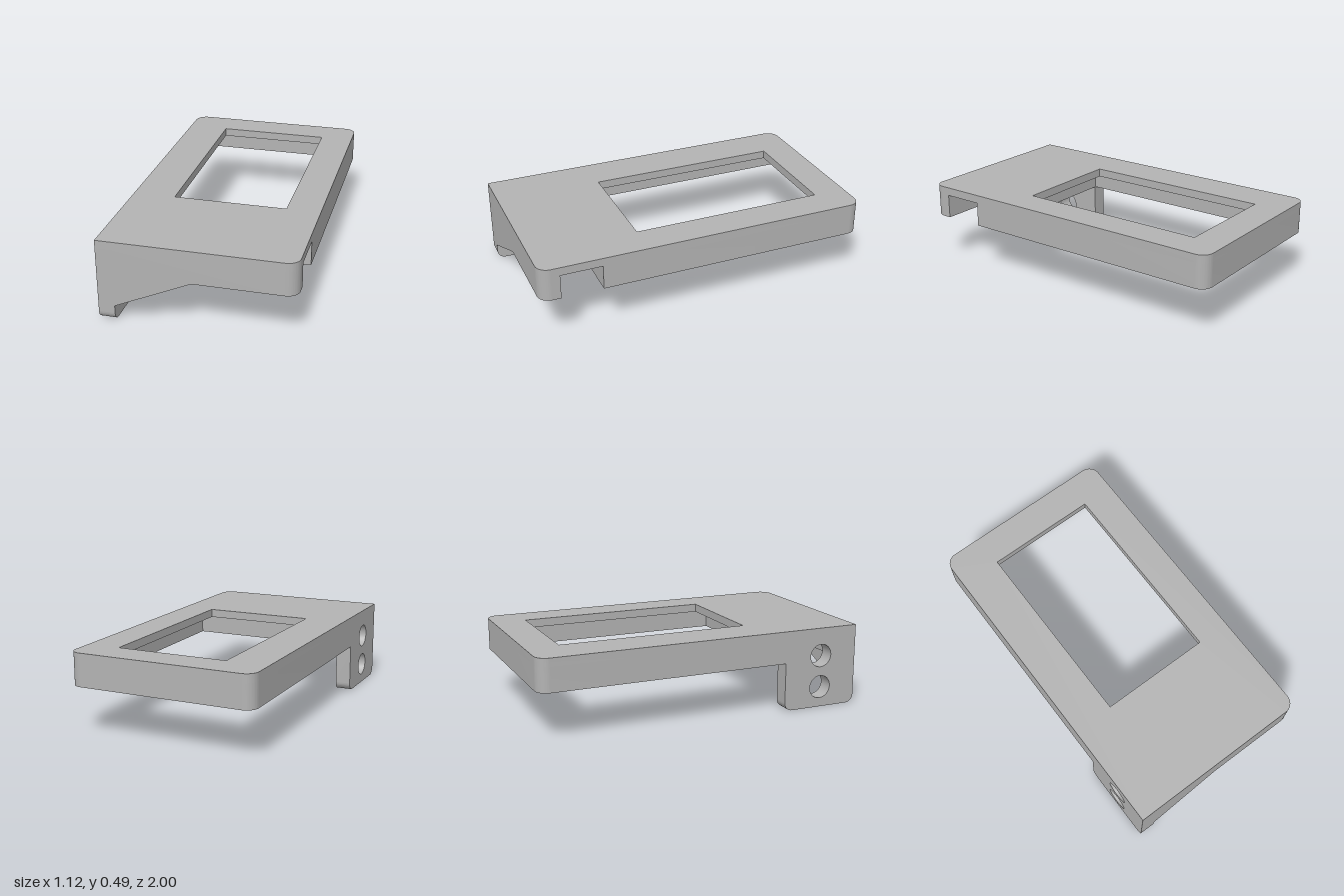
import * as THREE from 'three';
import { toCreasedNormals } from 'three/addons/utils/BufferGeometryUtils.js';

const W = 0.56, L = 1, R = 0.07;           // half width, half length, corner radius
const Y0 = 0.295, Y1 = 0.44, Y2 = 0.49;    // rim bottom, pocket ceiling, top
const FX = -0.465, FZ = 0.52;              // inner face and rear edge of the flange

// Outline from [a, b, radius] corners; corners with a radius are rounded.
function outline(corners, Type = THREE.Shape) {
  const s = new Type();
  const n = corners.length;
  corners.forEach(([a, b, r = 0], i) => {
    const p = new THREE.Vector2(a, b);
    const toward = (c) => new THREE.Vector2(c[0], c[1]).sub(p).setLength(r).add(p);
    const start = r ? toward(corners[(i + n - 1) % n]) : p;
    if (i === 0) s.moveTo(start.x, start.y); else s.lineTo(start.x, start.y);
    if (r) {
      const end = toward(corners[(i + 1) % n]);
      const c = start.clone().add(end).sub(p);
      const a0 = Math.atan2(start.y - c.y, start.x - c.x);
      const a1 = Math.atan2(end.y - c.y, end.x - c.x);
      const turn = (start.x - c.x) * (end.y - c.y) - (start.y - c.y) * (end.x - c.x);
      s.absarc(c.x, c.y, r, a0, a1, turn < 0);
    }
  });
  s.closePath();
  return s;
}

const rect = (x0, x1, z0, z1) => outline([[x0, -z0], [x0, -z1], [x1, -z1], [x1, -z0]], THREE.Path);

const extrude = (shape, depth) =>
  new THREE.ExtrudeGeometry(shape, { depth, bevelEnabled: false, curveSegments: 16 });

export function createModel() {
  const group = new THREE.Group();
  const grey = new THREE.MeshStandardMaterial({ color: 0xb3b3b3 });
  grey.name = 'plain grey';

  const add = (name, geometry) => {
    const mesh = new THREE.Mesh(toCreasedNormals(geometry, 0.6), grey);
    mesh.name = name;
    group.add(mesh);
  };
  // Plan outline (x, -z) raised from y0 to y1
  const slab = (name, shape, y0, y1) =>
    add(name, extrude(shape, y1 - y0).rotateX(-Math.PI / 2).translate(0, y0, 0));

  // Top plate with the window
  const top = outline([[-W, -L], [W, -L, R], [W, L, R], [-W, L, R]]);
  top.holes.push(rect(-0.31, 0.36, -0.8, 0.36));
  slab('topPlate', top, Y1, Y2);

  // Rim around the pocket, up to the cross channel
  const rim = outline([[FX, -0.635], [W, -0.635], [W, L, R], [-W, L, R], [-W, -FZ], [FX, -FZ]]);
  rim.holes.push(rect(FX, 0.51, -0.95, 0.515));
  slab('pocketRim', rim, Y0, Y1);

  // Front bar on the other side of the channel
  slab('frontBar', outline([[FX, -L], [W, -L, R], [W, -0.88], [FX, -0.88]]), Y0, Y1);

  // Side flange with two screw holes, drawn in (z, y)
  const flange = outline([[FZ, 0, 0.05], [L, 0, 0.05], [L, Y1], [FZ, Y1]]);
  for (const y of [0.125, 0.32]) {
    flange.holes.push(new THREE.Path().absarc(0.76, y, 0.07, 0, Math.PI * 2, true));
  }
  add('mountingFlange', extrude(flange, W + FX).rotateY(-Math.PI / 2).translate(FX, 0, 0));

  // Sloped gusset bracing the flange
  const gusset = outline([[FX, 0.095], [-0.02, Y0], [FX, Y0]]);
  add('gusset', extrude(gusset, 0.07).translate(0, 0, 0.93));

  return group;
}
